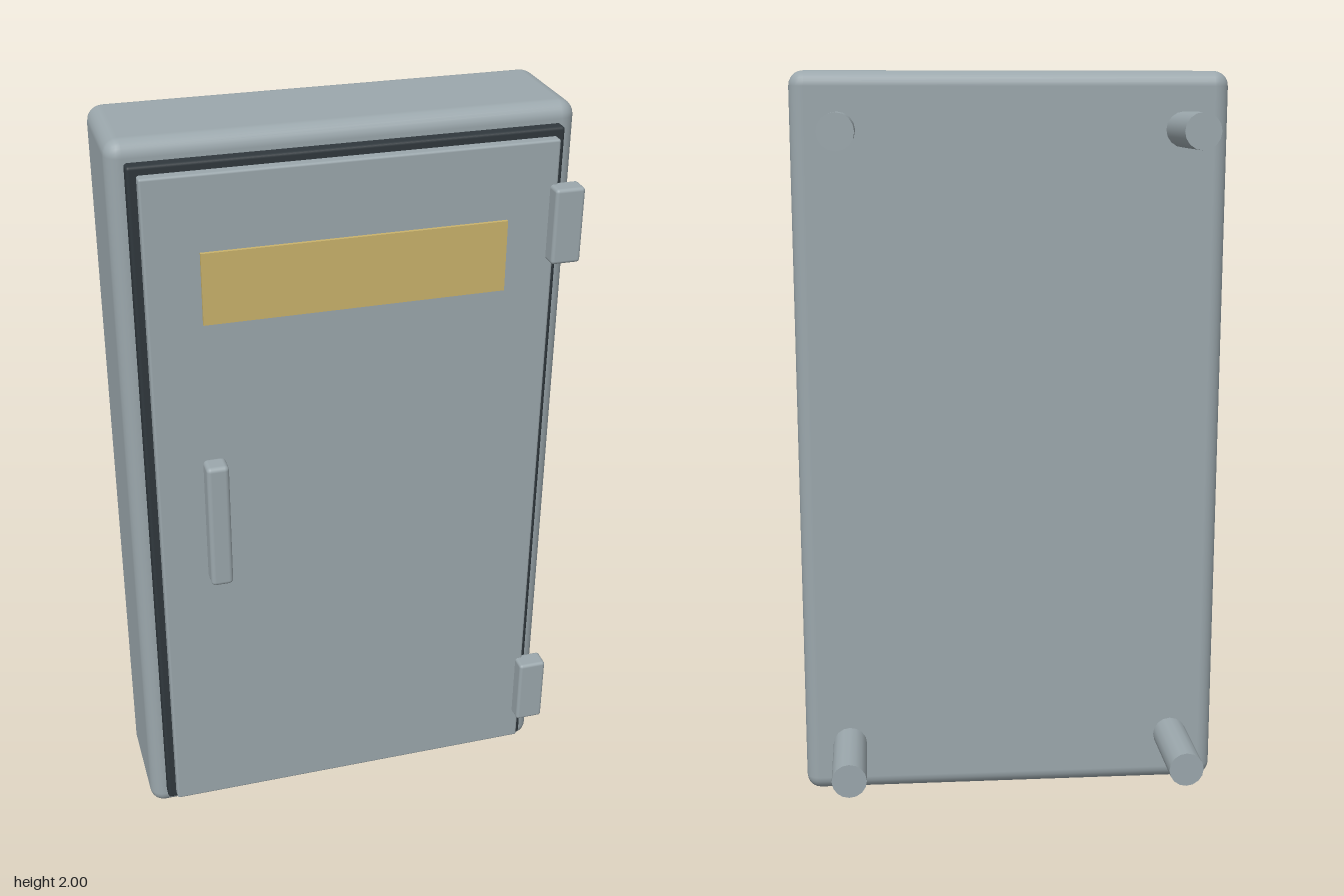
import * as THREE from 'three';
import { RoundedBoxGeometry } from 'three/addons/geometries/RoundedBoxGeometry.js';

const material = (name, color) => {
  const m = new THREE.MeshStandardMaterial({ color });
  m.name = name;
  return m;
};

export function createModel() {
  const steel = material('grey steel', 0x9ba7ac);
  const rubber = material('dark rubber', 0x30383d);
  const brass = material('brass', 0xc9b26b);

  const group = new THREE.Group();
  group.name = 'wallCabinet';

  // The cabinet is built square, then turned about the vertical axis
  const cabinet = new THREE.Group();
  cabinet.name = 'cabinet';
  cabinet.rotation.y = THREE.MathUtils.degToRad(-38);
  group.add(cabinet);

  const add = (name, geometry, mat, x, y, z) => {
    const mesh = new THREE.Mesh(geometry, mat);
    mesh.name = name;
    mesh.position.set(x, y, z);
    cabinet.add(mesh);
    return mesh;
  };
  const rounded = (w, h, d, r) => new RoundedBoxGeometry(w, h, d, 3, r);
  const cx = -0.02; // centre line of the cabinet

  // Housing, seal and door, stacked from back to front
  add('housing', rounded(1.162, 2, 0.322, 0.04), steel, cx, 1, 0.072);
  add('doorSeal', rounded(1.076, 1.9, 0.042, 0.008), rubber, cx, 1, 0.242);
  add('door', rounded(1.032, 1.86, 0.032, 0.006), steel, cx, 1, 0.278);

  // Name plate and handle
  add('namePlate', new THREE.BoxGeometry(0.766, 0.185, 0.009), brass, cx, 1.648, 0.306);
  add('handle', rounded(0.058, 0.355, 0.058, 0.012), steel, -0.391, 1.005, 0.329);

  // Hinges on the door edge
  for (const y of [0.263, 1.718]) {
    add('hinge', rounded(0.077, 0.197, 0.056, 0.009), steel, 0.514, y, 0.307);
  }

  // Four mounting pegs behind the housing
  const peg = new THREE.CylinderGeometry(0.047, 0.047, 0.252, 16);
  peg.rotateX(Math.PI / 2);
  for (const side of [-1, 1]) {
    for (const y of [0.147, 1.848]) {
      add('mountingPeg', peg, steel, cx + side * 0.456, y, -0.226);
    }
  }

  return group;
}
